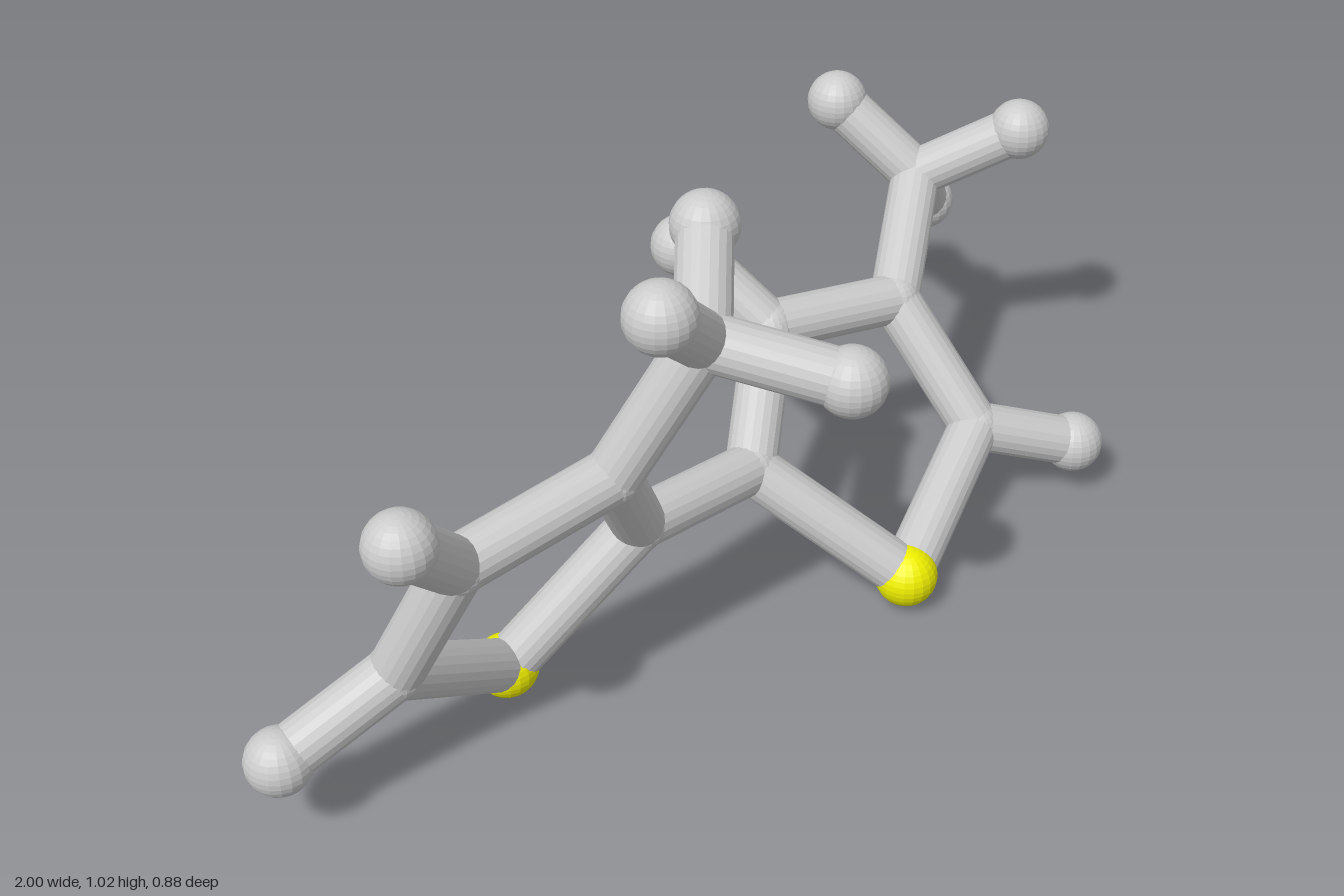
import * as THREE from 'three';

const ATOM_RADIUS = 0.06;
const JOINT_RADIUS = 0.051;
const BOND_RADIUS = 0.049;

// Atom centres of the two five-sided rings and their side groups
const rightRing = {
  sulfur: [-0.44, 0.06, -0.147],
  inner: [-0.215, 0.32, -0.025],
  upper: [-0.37, 0.56, 0.075],
  outer: [-0.67, 0.52, 0.025],
  lower: [-0.73, 0.27, -0.085],
  outerHydrogen: [-0.815, 0.675, 0.08],
  lowerHydrogen: [-0.94, 0.18, -0.14],
  methyl: [-0.26, 0.82, 0.178],
  methylHydrogenA: [-0.415, 0.963, 0.24],
  methylHydrogenB: [-0.11, 0.913, 0.042],
  methylHydrogenC: [-0.13, 0.77, 0.38],
};
const leftRing = {
  sulfur: [0.24, 0.07, 0.226],
  inner: [0.08, 0.28, -0.027],
  upper: [0.28, 0.44, -0.165],
  outer: [0.555, 0.41, -0.08],
  lower: [0.575, 0.19, 0.12],
  upperHydrogen: [0.215, 0.58, -0.33],
  lowerHydrogen: [0.755, 0.113, 0.235],
  methyl: [0.79, 0.54, -0.225],
  methylHydrogenA: [0.718, 0.68, -0.378],
  methylHydrogenB: [0.905, 0.657, -0.06],
  methylHydrogenC: [0.937, 0.385, -0.31],
};

// Bonds shared by both halves: the ring, the lower hydrogen and the methyl tips
const commonBonds = [
  ['sulfur', 'inner'], ['inner', 'upper'], ['upper', 'outer'],
  ['outer', 'lower'], ['lower', 'sulfur'], ['lower', 'lowerHydrogen'],
  ['methyl', 'methylHydrogenA'], ['methyl', 'methylHydrogenB'], ['methyl', 'methylHydrogenC'],
];

const grey = new THREE.MeshStandardMaterial({ color: 0xcccccc, flatShading: true });
const yellow = new THREE.MeshStandardMaterial({ color: 0xf0f000, flatShading: true });
const ball = new THREE.SphereGeometry(ATOM_RADIUS, 20, 16);
const joint = new THREE.SphereGeometry(JOINT_RADIUS, 20, 16);
const up = new THREE.Vector3(0, 1, 0);

// Cylinder running between two points
function makeBond(from, to, name) {
  const a = new THREE.Vector3(...from);
  const b = new THREE.Vector3(...to);
  const dir = b.clone().sub(a);
  const bond = new THREE.Mesh(
    new THREE.CylinderGeometry(BOND_RADIUS, BOND_RADIUS, dir.length(), 20), grey);
  bond.position.copy(a).add(b).multiplyScalar(0.5);
  bond.quaternion.setFromUnitVectors(up, dir.normalize());
  bond.name = name;
  return bond;
}

// One ring with its atoms and bonds
function makeRing(atoms, extraBonds, name) {
  const ring = new THREE.Group();
  ring.name = name;
  for (const [key, position] of Object.entries(atoms)) {
    const isSulfur = key === 'sulfur';
    const isTip = isSulfur || key.includes('Hydrogen');
    const atom = new THREE.Mesh(isTip ? ball : joint, isSulfur ? yellow : grey);
    atom.position.set(...position);
    atom.name = isTip ? key + 'Atom' : key + 'CarbonAtom';
    ring.add(atom);
  }
  for (const [a, b] of [...commonBonds, ...extraBonds]) {
    ring.add(makeBond(atoms[a], atoms[b], `${a}To${b[0].toUpperCase()}${b.slice(1)}Bond`));
  }
  return ring;
}

export function createModel() {
  const model = new THREE.Group();
  model.name = 'molecule';
  model.add(
    makeRing(rightRing, [['upper', 'methyl'], ['outer', 'outerHydrogen']], 'rightRing'),
    makeRing(leftRing, [['outer', 'methyl'], ['upper', 'upperHydrogen']], 'leftRing'),
    makeBond(rightRing.inner, leftRing.inner, 'ringLinkBond'),
  );
  return model;
}
